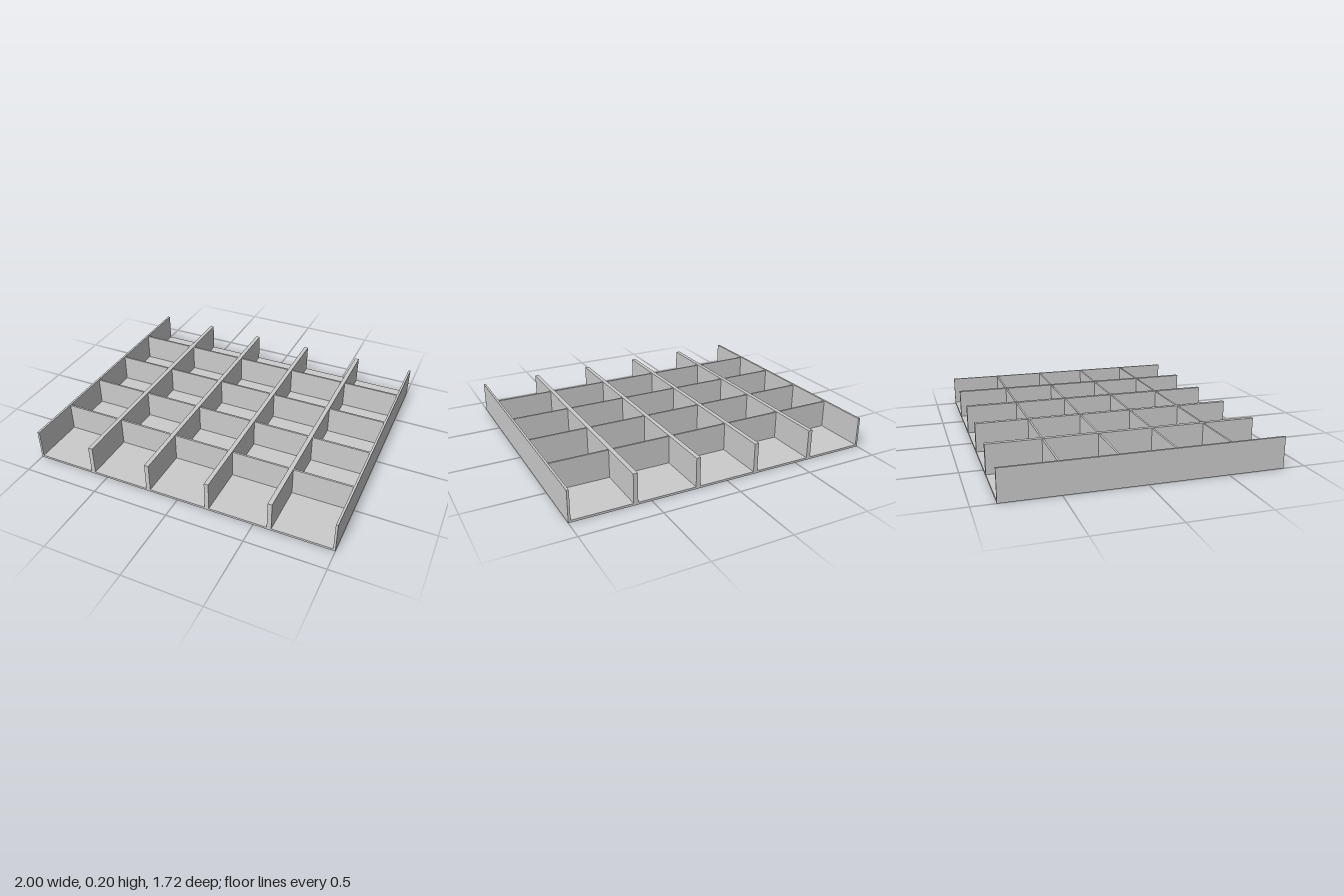
import * as THREE from 'three';

export function createModel() {
  const model = new THREE.Group();
  model.name = 'compartmentTray';
  const material = new THREE.MeshStandardMaterial({ color: 0xcccccc, flatShading: true });

  const count = 5, width = 0.4, height = 0.2, depth = 1.715, wall = 0.014;
  const half = width / 2, inner = half - wall;

  // U-shaped channel: floor and two side walls, open at the front and back
  const profile = new THREE.Shape([
    [-half, 0], [half, 0], [half, height], [inner, height],
    [inner, wall], [-inner, wall], [-inner, height], [-half, height],
  ].map(([x, y]) => new THREE.Vector2(x, y)));
  const channelGeometry = new THREE.ExtrudeGeometry(profile, { depth, bevelEnabled: false });
  channelGeometry.translate(0, 0, -depth / 2);

  // Cross divider standing on the channel floor, just below the wall tops
  const dividerHeight = height - wall - 0.004;
  const dividerGeometry = new THREE.BoxGeometry(inner * 2, dividerHeight, 0.012);
  dividerGeometry.translate(0, wall + dividerHeight / 2, 0);

  for (let i = 0; i < count; i++) {
    const column = new THREE.Group();
    column.name = `column${i + 1}`;
    column.position.x = (i - (count - 1) / 2) * width;

    const channel = new THREE.Mesh(channelGeometry, material);
    channel.name = 'channel';
    column.add(channel);

    for (let j = 1; j < count; j++) {
      const divider = new THREE.Mesh(dividerGeometry, material);
      divider.name = `divider${j}`;
      divider.position.z = (j / count - 0.5) * depth;
      column.add(divider);
    }
    model.add(column);
  }
  return model;
}
